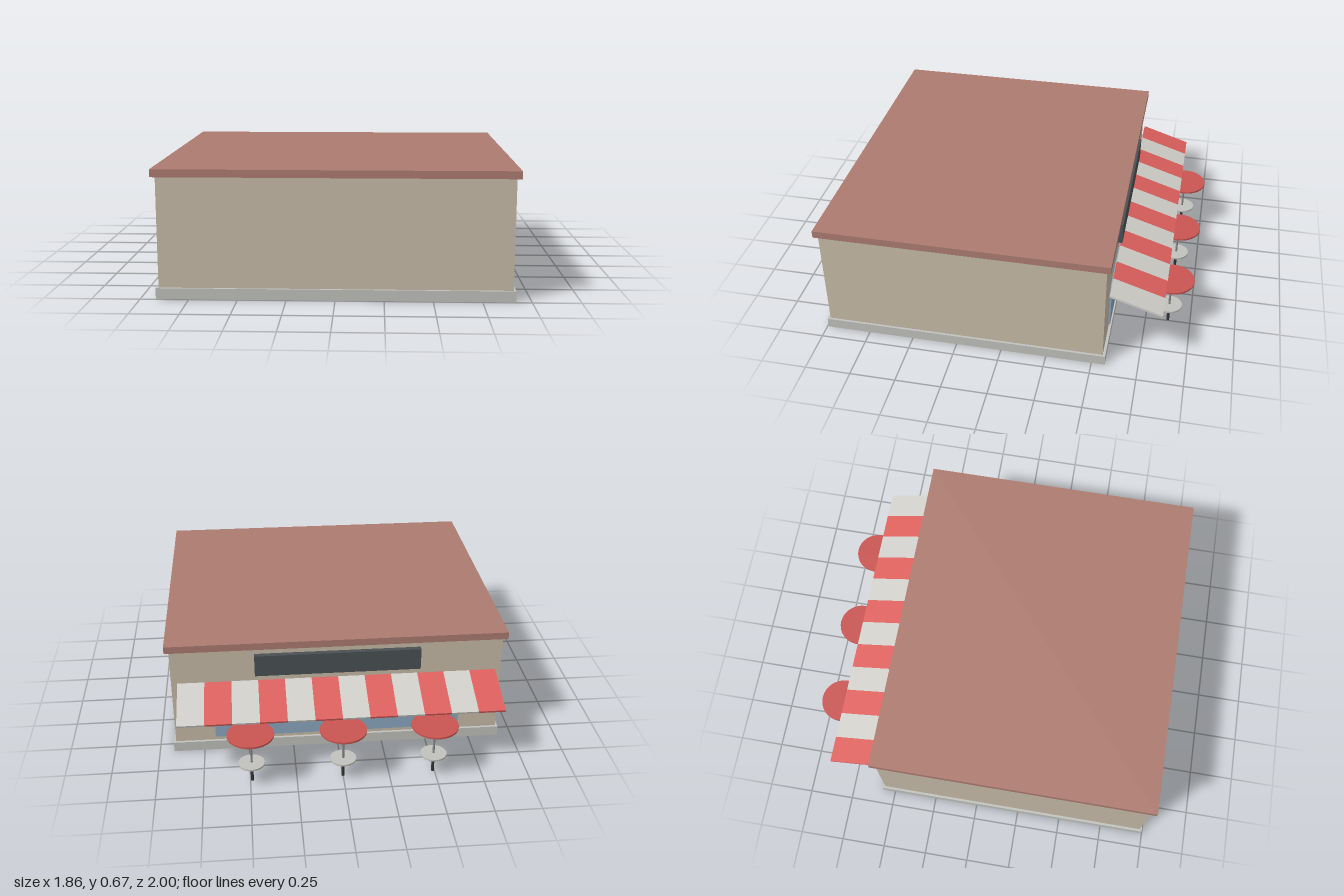
import * as THREE from 'three';

const mat = (name, color) => {
  const m = new THREE.MeshStandardMaterial({ color });
  m.name = name;
  return m;
};

export function createModel() {
  const group = new THREE.Group();
  const beige = mat('beige wall', 0xc8bba8);
  const brick = mat('brick roof', 0xad7b70);
  const stone = mat('pale stone', 0xc1c1bd);
  const red = mat('awning red', 0xdd605d);
  const cream = mat('awning cream', 0xd1cfca);
  const tableRed = mat('table red', 0xc95552);
  const glass = mat('window blue', 0x8ba7bf);
  const charcoal = mat('charcoal', 0x4a5053);
  const steel = mat('steel', 0x8c8c8c);
  const black = mat('dark post', 0x333333);

  // Box given by its extents on each axis
  const box = (name, material, [x0, x1], [y0, y1], [z0, z1], parent = group) => {
    const mesh = new THREE.Mesh(new THREE.BoxGeometry(x1 - x0, y1 - y0, z1 - z0), material);
    mesh.position.set((x0 + x1) / 2, (y0 + y1) / 2, (z0 + z1) / 2);
    mesh.name = name;
    parent.add(mesh);
    return mesh;
  };

  // Upright cylinder between two heights
  const post = (name, material, radius, y0, y1, parent, sides = 32) => {
    const mesh = new THREE.Mesh(new THREE.CylinderGeometry(radius, radius, y1 - y0, sides), material);
    mesh.position.y = (y0 + y1) / 2;
    mesh.name = name;
    parent.add(mesh);
  };

  // Building
  box('foundation', stone, [-0.92, 0.92], [0, 0.057], [-0.573, 0.993]);
  box('walls', beige, [-0.907, 0.907], [0.057, 0.634], [-0.558, 0.98]);
  box('roof', brick, [-0.93, 0.93], [0.634, 0.674], [-0.58, 1]);
  box('servingWindow', glass, [-0.685, 0.685], [0.08, 0.35], [-0.567, -0.558]);
  box('signBoard', charcoal, [-0.453, 0.453], [0.475, 0.598], [-0.587, -0.558]);

  // Sloping awning of twelve alternating stripes
  const awning = new THREE.Group();
  awning.name = 'awning';
  const stripes = 12, width = 1.745 / stripes;
  const run = 0.28, drop = 0.09, length = Math.hypot(run, drop);
  for (let i = 0; i < stripes; i++) {
    const x = -0.8725 + i * width;
    box('awningStripe', i % 2 ? cream : red, [x, x + width], [-0.006, 0.006], [-length / 2, length / 2], awning);
  }
  awning.position.set(0, 0.394, -0.714);
  awning.rotation.x = -Math.atan2(drop, run);
  group.add(awning);

  // Three round tables with a lower disc on each post
  for (const x of [-0.49, 0, 0.49]) {
    const table = new THREE.Group();
    table.name = 'table';
    post('lowerPost', black, 0.008, 0, 0.108, table, 12);
    post('lowerDisc', stone, 0.07, 0.108, 0.118, table);
    post('upperPost', steel, 0.006, 0.118, 0.29, table, 12);
    post('tableTop', tableRed, 0.125, 0.29, 0.3, table);
    table.position.set(x, 0, -0.875);
    group.add(table);
  }
  return group;
}
